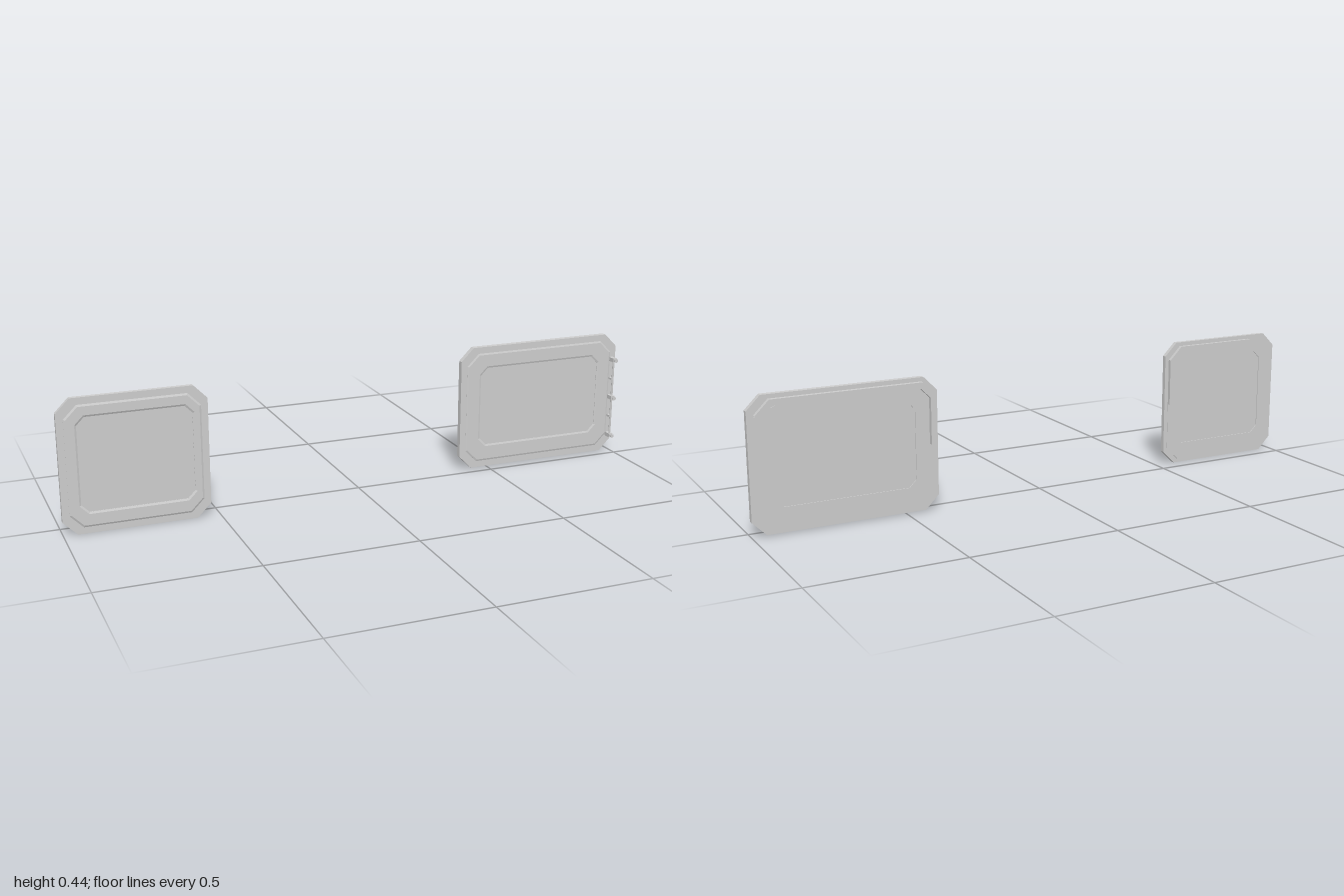
import * as THREE from 'three';

const material = new THREE.MeshStandardMaterial({ color: 0xcccccc, flatShading: true, side: THREE.DoubleSide });

// Corner points of a rectangle with chamfered corners, shrunk by an inset
function octagon([x0, x1, y0, y1], c, inset = 0) {
  x0 += inset; x1 -= inset; y0 += inset; y1 -= inset;
  return [[x0 + c, y0], [x1 - c, y0], [x1, y0 + c], [x1, y1 - c],
    [x1 - c, y1], [x0 + c, y1], [x0, y1 - c], [x0, y0 + c]].map(p => new THREE.Vector2(...p));
}

// Flat piece between two depths, with optional hole and bevelled edge
function slab(parent, name, points, z0, z1, hole, bevel = 0) {
  const shape = new THREE.Shape(points);
  if (hole) shape.holes.push(new THREE.Path(hole));
  const rise = bevel ? (z1 - z0) * 0.45 : 0;
  const geo = new THREE.ExtrudeGeometry(shape, {
    depth: z1 - z0 - 2 * rise, bevelEnabled: bevel > 0, bevelSegments: 1,
    bevelSize: bevel, bevelThickness: rise, bevelOffset: -bevel,
  });
  geo.translate(0, 0, z0 + rise);
  const mesh = new THREE.Mesh(geo, material);
  mesh.name = name;
  parent.add(mesh);
}

function box(parent, name, w, h, d, x, y, z) {
  const mesh = new THREE.Mesh(new THREE.BoxGeometry(w, h, d), material);
  mesh.name = name;
  mesh.position.set(x, y, z);
  parent.add(mesh);
}

const vectors = list => list.map(p => new THREE.Vector2(...p));

// Chamfered plate with a raised front frame around a sunken field
function hatch(name, bounds, field, zBack, zFront, zRaised) {
  const group = new THREE.Group();
  group.name = name;
  const hole = octagon(field, 0.025);
  slab(group, 'plate', octagon(bounds, 0.045), zBack, zFront, hole);
  slab(group, 'centrePanel', octagon(field, 0.025, -0.002), zBack + 0.003, zFront - 0.001);
  slab(group, 'raisedFrame', octagon(bounds, 0.042, 0.022), zFront - 0.002, zRaised, hole, 0.006);
  return group;
}

export function createModel() {
  const model = new THREE.Group();
  model.name = 'hatchPair';

  // Smaller hatch
  const small = hatch('smallHatch', [-1, -0.53, 0, 0.437], [-0.94, -0.58, 0.07, 0.375], 0.048, 0.063, 0.068);
  slab(small, 'backRim', vectors([[-0.54, 0.22], [-0.54, 0.38], [-0.585, 0.425], [-0.88, 0.425],
    [-0.88, 0.405], [-0.593, 0.405], [-0.56, 0.372], [-0.56, 0.22]]), 0.03, 0.042);
  slab(small, 'lowerSeal', vectors([[-0.54, 0.22], [-0.56, 0.22], [-0.56, 0.068],
    [-0.593, 0.035], [-0.585, 0.015], [-0.54, 0.06]]), 0.0405, 0.042);

  // Larger hatch
  const large = hatch('largeHatch', [0.39, 1, 0.005, 0.437], [0.465, 0.925, 0.085, 0.362], -0.047, -0.028, -0.025);
  slab(large, 'backRim', vectors([[0.4, 0.222], [0.4, 0.38], [0.445, 0.425], [0.935, 0.425],
    [0.98, 0.38], [0.965, 0.367], [0.927, 0.405], [0.453, 0.405], [0.42, 0.372], [0.42, 0.222]]), -0.068, -0.053);
  slab(large, 'cornerGusset', vectors([[0.985, 0.375], [0.88, 0.422], [0.925, 0.335]]), -0.067, -0.064);

  // Hinge rod with lugs, flared pin heads and small brackets
  const hinge = new THREE.Group();
  hinge.name = 'hinge';
  const hx = 0.983;
  const rod = new THREE.Mesh(new THREE.CylinderGeometry(0.003, 0.003, 0.29, 8), material);
  rod.name = 'hingeRod';
  rod.position.set(hx, 0.207, -0.01);
  hinge.add(rod);
  for (const y of [0.066, 0.207, 0.346]) {
    box(hinge, 'hingeLug', 0.014, 0.014, 0.036, hx, y, -0.018);
    const head = new THREE.Mesh(new THREE.CylinderGeometry(0.007, 0.004, 0.01, 8), material);
    head.name = 'pinHead';
    head.rotation.x = Math.PI / 2;
    head.position.set(hx, y, 0.005);
    hinge.add(head);
  }
  for (const y of [0.136, 0.275]) box(hinge, 'hingeBracket', 0.01, 0.007, 0.019, hx, y, -0.0205);
  large.add(hinge);

  model.add(small, large);
  return model;
}
